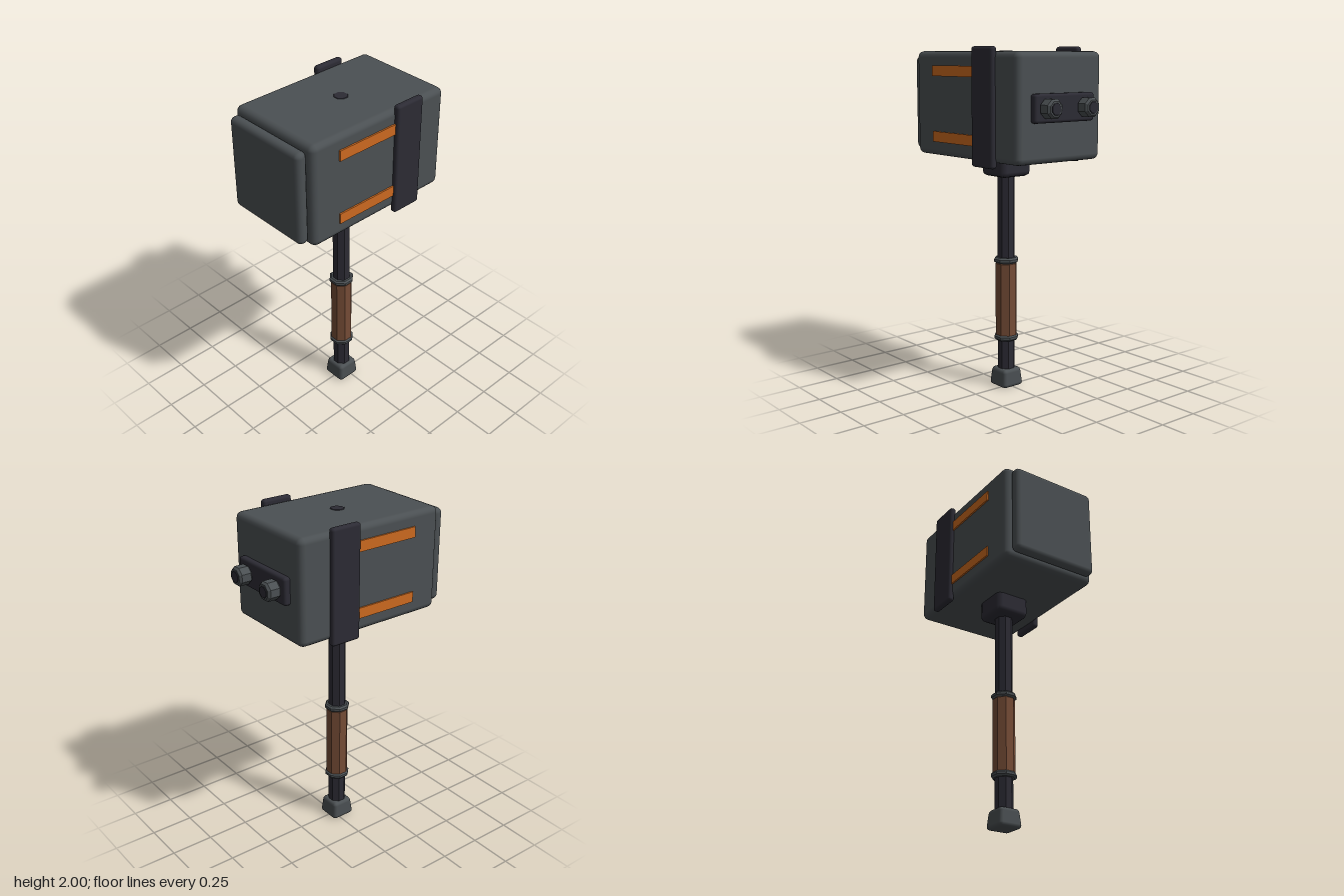
import * as THREE from 'three';
import { RoundedBoxGeometry } from 'three/addons/geometries/RoundedBoxGeometry.js';

const HANDLE_Z = 0.025;

function material(name, color, flatShading = false) {
  const m = new THREE.MeshStandardMaterial({ color, flatShading });
  m.name = name;
  return m;
}

export function createModel() {
  const model = new THREE.Group();
  model.name = 'hammer';
  const steel = material('steel grey', 0x4b5053);
  const iron = material('dark iron', 0x2c2b34);
  const leather = material('brown leather', 0x754c36);
  const orange = material('orange', 0xcd6a20);

  const add = (name, geometry, mat, x, y, z) => {
    const mesh = new THREE.Mesh(geometry, mat);
    mesh.name = name;
    mesh.position.set(x, y, z);
    model.add(mesh);
    return mesh;
  };
  const box = (w, h, d, r, seg = 2) => new RoundedBoxGeometry(w, h, d, seg, r);

  // Eight-sided bar along y with bevelled ends; r is measured to the flats
  const bar = (r, y0, y1, bevel) => {
    const R = r / Math.cos(Math.PI / 8);
    const points = [[0, y0], [R - bevel, y0], [R, y0 + bevel], [R, y1 - bevel], [R - bevel, y1], [0, y1]]
      .map(([x, y]) => new THREE.Vector2(x, y));
    const g = new THREE.LatheGeometry(points, 8, Math.PI / 8).toNonIndexed();
    g.computeVertexNormals();
    return g;
  };

  // Head and striking face
  add('head', box(0.6, 0.595, 0.93, 0.035), steel, 0, 1.6775, 0.025);
  add('strikingFace', box(0.535, 0.54, 0.067, 0.03), steel, 0, 1.675, 0.522);

  // Side straps and orange stripes
  for (const side of [1, -1]) {
    add('sideStrap', box(0.04, 0.65, 0.185, 0.016), iron, side * 0.306, 1.675, -0.163);
    for (const y of [1.49, 1.865]) {
      add('sideStripe', new THREE.BoxGeometry(0.0095, 0.06, 0.4), orange, side * 0.3045, y, 0.115);
    }
  }

  // Back plate with two pegs
  add('backPlate', box(0.425, 0.155, 0.045, 0.016), iron, 0, 1.678, -0.455);
  for (const x of [-0.133, 0.133]) {
    const peg = add('backPeg', bar(0.051, 0, 0.08, 0.012), steel, x, 1.678, -0.473);
    peg.rotation.x = -Math.PI / 2;
    const cap = add('pegCap', bar(0.031, 0, 0.007, 0.002), iron, x, 1.678, -0.55);
    cap.rotation.x = -Math.PI / 2;
  }

  // Collar, shaft, grip and rings
  add('collar', box(0.21, 0.15, 0.21, 0.03, 1), iron, 0, 1.34, HANDLE_Z);
  add('shaft', bar(0.048, 0.07, 1.978, 0.014), iron, 0, 0, HANDLE_Z);
  add('grip', bar(0.06, 0.3, 0.76, 0.012), leather, 0, 0, HANDLE_Z);
  for (const y of [0.3, 0.768]) {
    add('gripRing', bar(0.068, y - 0.017, y + 0.017, 0.01), steel, 0, 0, HANDLE_Z);
  }

  // Pommel, a rounded block narrowing upwards
  const pommel = box(0.15, 0.11, 0.15, 0.022);
  const p = pommel.attributes.position;
  for (let i = 0; i < p.count; i++) {
    const s = 1 - 0.16 * (p.getY(i) / 0.11 + 0.5);
    p.setXYZ(i, p.getX(i) * s, p.getY(i), p.getZ(i) * s);
  }
  add('pommel', pommel, steel, 0, 0.055, HANDLE_Z);

  return model;
}
